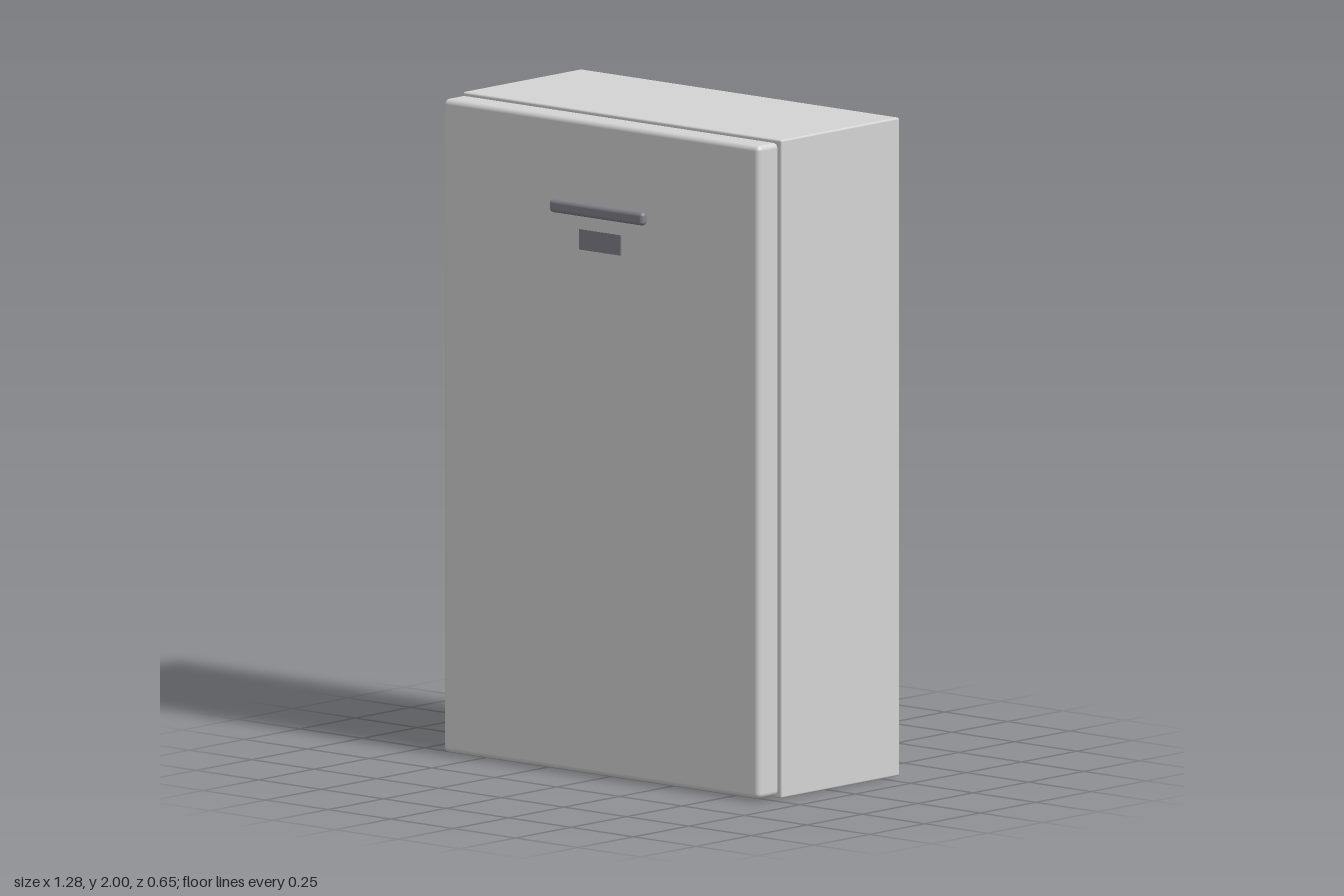
import * as THREE from 'three';
import { RoundedBoxGeometry } from 'three/addons/geometries/RoundedBoxGeometry.js';

export function createModel() {
  const model = new THREE.Group();
  model.name = 'compactFridge';

  const casing = new THREE.MeshStandardMaterial({ name: 'lightGrey', color: 0xd4d4d4 });
  const trim = new THREE.MeshStandardMaterial({ name: 'darkGrey', color: 0x80808a });

  // Adds a part spanning the given [min, max] ranges, with optional edge rounding
  function addBox(name, material, [x0, x1], [y0, y1], [z0, z1], radius = 0) {
    const size = [x1 - x0, y1 - y0, z1 - z0];
    const geometry = radius
      ? new RoundedBoxGeometry(...size, 4, radius)
      : new THREE.BoxGeometry(...size);
    const mesh = new THREE.Mesh(geometry, material);
    mesh.name = name;
    mesh.position.set((x0 + x1) / 2, (y0 + y1) / 2, (z0 + z1) / 2);
    model.add(mesh);
  }

  // Cabinet and the slightly smaller, softly rounded door
  addBox('cabinet', casing, [-0.638, 0.638], [0, 2], [-0.327, 0.206], 0.006);
  addBox('door', casing, [-0.632, 0.632], [0.008, 1.992], [0.208, 0.302], 0.016);

  // Handle bar and the plain plate below it
  addBox('handle', trim, [-0.188, 0.188], [1.702, 1.742], [0.3, 0.327], 0.012);
  addBox('plate', trim, [-0.083, 0.083], [1.598, 1.66], [0.3, 0.306]);

  return model;
}
